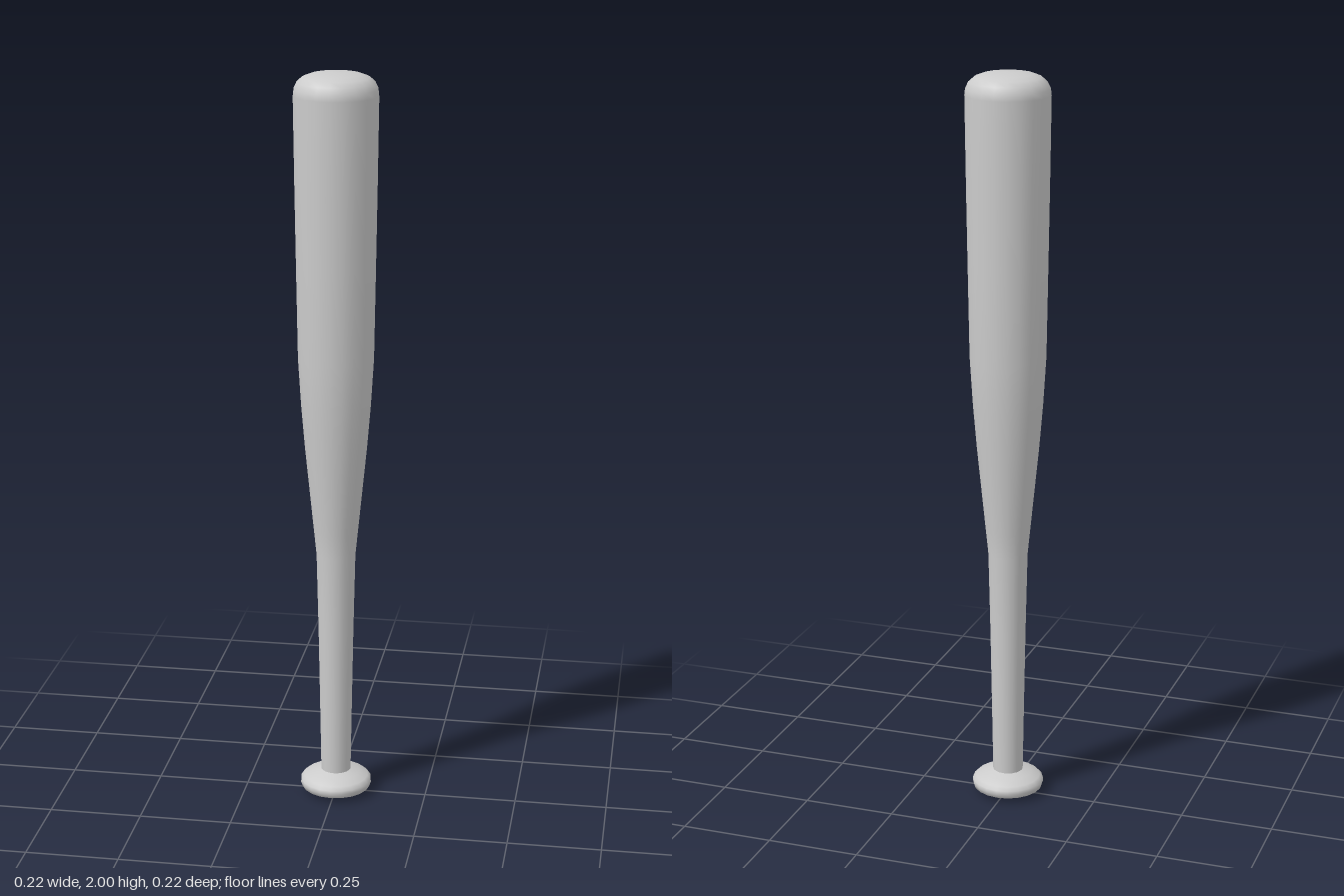
import * as THREE from 'three';

const SIDES = 20;

// Turns a profile of [radius, height] pairs around the y axis
function turned(name, profile, material) {
  const points = profile.map(([r, y]) => new THREE.Vector2(r, y));
  const mesh = new THREE.Mesh(new THREE.LatheGeometry(points, SIDES), material);
  mesh.name = name;
  return mesh;
}

export function createModel() {
  const group = new THREE.Group();
  group.name = 'baseballBat';
  const material = new THREE.MeshStandardMaterial({ color: 0xcccccc });

  // Flared knob at the end of the grip
  const knob = turned('knob', [
    [0, 0], [0.05, 0.004], [0.08, 0.009], [0.094, 0.016], [0.098, 0.028],
    [0.097, 0.038], [0.088, 0.047], [0.065, 0.058], [0.041, 0.066],
  ], material);

  // Slim grip, taper and barrel with a rounded tip
  const shaft = turned('handleAndBarrel', [
    [0.041, 0.066], [0.044, 0.25], [0.048, 0.48], [0.053, 0.7],
    [0.06, 0.77], [0.07, 0.87], [0.083, 1.0], [0.093, 1.12], [0.101, 1.25],
    [0.105, 1.5], [0.108, 1.7], [0.111, 1.94],
    [0.109, 1.957], [0.101, 1.974], [0.087, 1.986], [0.066, 1.994],
    [0.035, 1.999], [0, 2],
  ], material);

  group.add(knob, shaft);
  return group;
}
